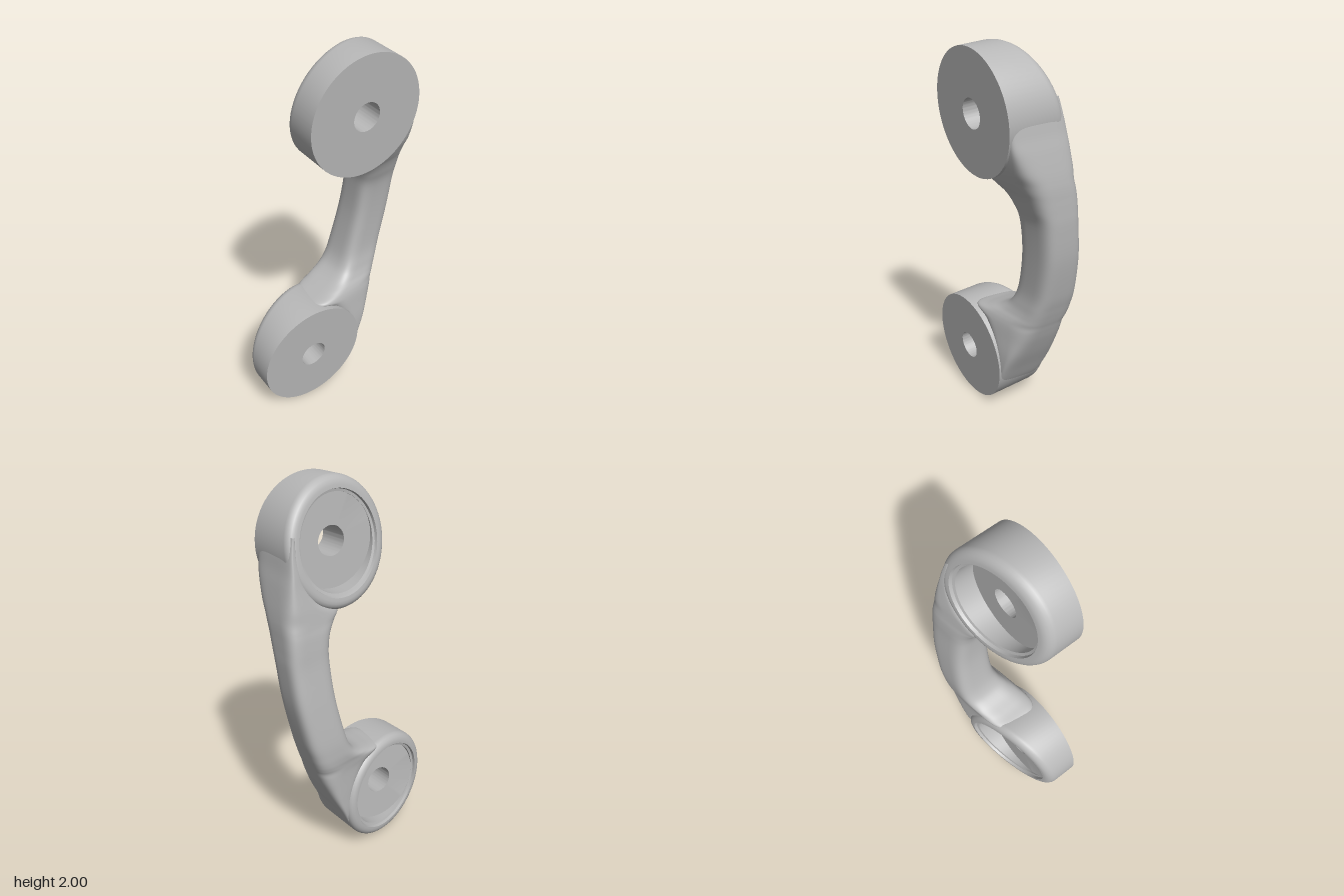
import * as THREE from 'three';
import { toCreasedNormals } from 'three/addons/utils/BufferGeometryUtils.js';

const grey = new THREE.MeshStandardMaterial({ color: 0xb8b8b8 });
grey.name = 'grey';

// Skin a grid of closed loops: point(i, j) gives ring i, step j.
function skin(rings, steps, point, closed) {
  const pos = [], index = [];
  for (let i = 0; i < rings; i++)
    for (let j = 0; j < steps; j++) pos.push(...point(i, j));
  const last = closed ? rings : rings - 1;
  for (let i = 0; i < last; i++) {
    for (let j = 0; j < steps; j++) {
      const k = (i + 1) % rings, n = (j + 1) % steps;
      const a = i * steps + j, b = k * steps + j, c = k * steps + n, d = i * steps + n;
      index.push(a, b, d, b, c, d);
    }
  }
  const geo = new THREE.BufferGeometry();
  geo.setAttribute('position', new THREE.Float32BufferAttribute(pos, 3));
  geo.setIndex(index);
  geo.computeVertexNormals();
  return geo;
}

// Round end: flat on +x with a through hole, slanted and counterbored on -x.
function makeEnd(name, { center, radius, depth, floor, slopeY, slopeZ }) {
  const hole = 0.073, fillet = 0.045;
  // Profile entries: radius, offset along the axis, measured from the slanted rim or not
  const profile = [[hole, 0, false], [radius, 0, false]];
  for (let i = 0; i <= 5; i++) {
    const a = (i / 5) * Math.PI / 2;
    profile.push([radius - fillet * (1 - Math.cos(a)), fillet * (1 - Math.sin(a)), true]);
  }
  profile.push([0.245, 0, true], [0.241, 0.015, true], [0.228, 0.019, true],
    [0.228, floor, false], [hole, floor, false]);
  const steps = 72;
  const geo = skin(profile.length, steps, (i, j) => {
    const [r, offset, slanted] = profile[i];
    const a = (j / steps) * Math.PI * 2;
    const y = r * Math.cos(a), z = r * Math.sin(a);
    return [slanted ? offset - depth + slopeY * y + slopeZ * z : offset, y, z];
  }, true);
  const mesh = new THREE.Mesh(toCreasedNormals(geo, 0.6), grey);
  mesh.name = name;
  mesh.position.set(...center);
  mesh.rotation.z = -0.072;
  return mesh;
}

// Curved grip: rounded cross-sections that flare into both ends.
function makeGrip() {
  // y, left x and right x at the back, back z, front z, slant towards the front
  const rows = [
    [0.14, -0.14, 0.07, -0.085, -0.075, 0.2],
    [0.20, -0.175, 0.076, -0.130, -0.10, 0.2],
    [0.30, -0.203, 0.078, -0.182, -0.115, 0.2],
    [0.40, -0.216, 0.070, -0.234, -0.095, 0.2],
    [0.50, -0.225, 0.053, -0.28, -0.03, 0.2],
    [0.56, -0.229, 0.044, -0.304, 0.03, 0.19],
    [0.595, -0.231, 0.038, -0.317, 0.11, 0.17],
    [0.62, -0.232, 0.030, -0.327, 0.03, 0.15],
    [0.65, -0.232, 0.020, -0.338, -0.055, 0.11],
    [0.70, -0.231, 0.010, -0.355, -0.115, 0.07],
    [0.80, -0.228, -0.002, -0.385, -0.155, 0.06],
    [1.00, -0.210, 0.003, -0.425, -0.195, 0.08],
    [1.18, -0.187, 0.022, -0.44, -0.205, 0.1],
    [1.27, -0.181, 0.048, -0.441, -0.195, 0.13],
    [1.33, -0.177, 0.070, -0.44, -0.17, 0.16],
    [1.37, -0.173, 0.090, -0.439, -0.135, 0.19],
    [1.41, -0.167, 0.112, -0.436, -0.11, 0.2],
    [1.47, -0.155, 0.142, -0.428, -0.22, 0.2],
    [1.56, -0.133, 0.174, -0.412, -0.30, 0.2],
    [1.63, -0.117, 0.186, -0.397, -0.328, 0.2],
    [1.71, -0.098, 0.190, -0.383, -0.34, 0.2],
    [1.79, -0.08, 0.185, -0.362, -0.34, 0.2],
  ];
  const sides = new THREE.CatmullRomCurve3(
    rows.map((r) => new THREE.Vector3(r[1], r[0], r[2])), false, 'catmullrom', 0.5);
  const depths = new THREE.CatmullRomCurve3(
    rows.map((r) => new THREE.Vector3(r[3], r[4], r[5])), false, 'catmullrom', 0.5);
  const rings = 127, steps = 64;
  const power = (v) => Math.sign(v) * Math.sqrt(Math.abs(v));
  const geo = skin(rings, steps, (i, j) => {
    const t = i / (rings - 1), a = (j / steps) * Math.PI * 2;
    const { x: left, y, z: right } = sides.getPoint(t);
    const { x: back, y: front, z: slant } = depths.getPoint(t);
    const c = power(Math.cos(a)), s = power(Math.sin(a));
    const z = (back + front) / 2 + s * (front - back) / 2;
    const x = (left + right) / 2 + c * (right - left) / 2 + slant * (z - back);
    return [x, y, z];
  }, false);
  const mesh = new THREE.Mesh(geo, grey);
  mesh.name = 'grip';
  return mesh;
}

export function createModel() {
  const group = new THREE.Group();
  group.name = 'curvedHandle';
  group.add(
    makeEnd('upperEnd', {
      center: [0.203, 1.687, -0.083], radius: 0.305, depth: 0.248, floor: -0.175,
      slopeY: 0.145, slopeZ: 0.18,
    }),
    makeEnd('lowerEnd', {
      center: [0.095, 0.302, 0.147], radius: 0.298, depth: 0.245, floor: -0.17,
      slopeY: -0.06, slopeZ: 0.24,
    }),
    makeGrip(),
  );
  return group;
}
